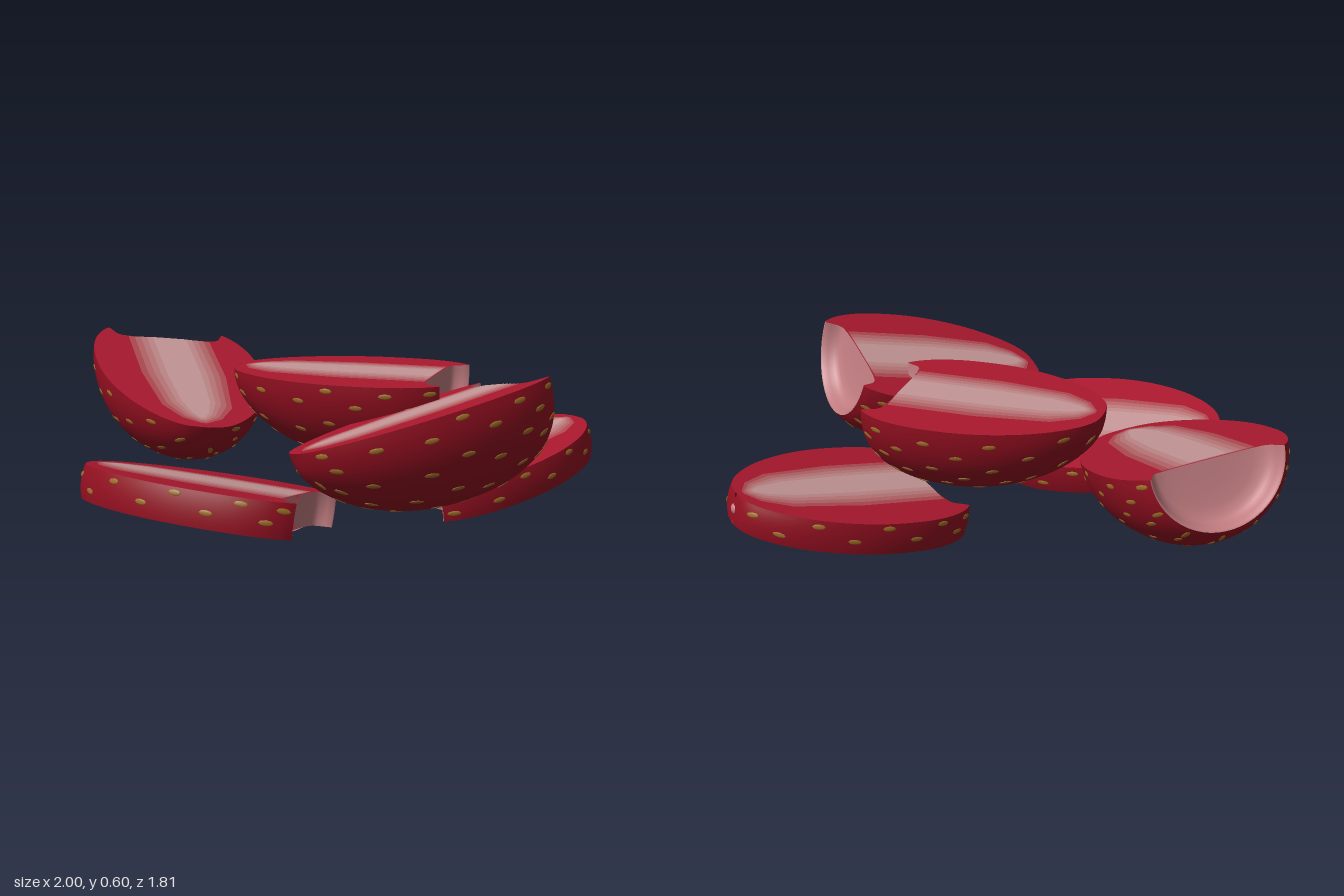
import * as THREE from 'three';
import { mergeGeometries } from 'three/addons/utils/BufferGeometryUtils.js';

const material = (color) => new THREE.MeshStandardMaterial({ color, roughness: 0.6, side: THREE.DoubleSide });
const SKIN = material(0x920f20), FLESH = material(0xaa182e), HOLLOW = material(0xc07c80), SEED = material(0x9c6c26);
const MID = 0.44; // middle of the berry's length

// Flesh fades to a pale core in nested streaks
const STREAKS = [0.17, 0.145, 0.12, 0.095, 0.07].map((width, i) => ({
  width, mat: material(new THREE.Color(0xaa182e).lerp(new THREE.Color(0xc49696), (i + 1) / 5)),
}));

// Berry profile (distance from tip, radius), from the tip to the stem rim
const skinCurve = new THREE.CatmullRomCurve3([
  [0, 0], [0.012, 0.08], [0.065, 0.155], [0.17, 0.235], [0.3, 0.293], [0.43, 0.325],
  [0.56, 0.334], [0.69, 0.325], [0.79, 0.296], [0.845, 0.265], [0.87, 0.243],
].map(([u, r]) => new THREE.Vector3(u - MID, r, 0)));
const skinProfile = skinCurve.getPoints(40);
// Scooped-out stem end: from the rim inwards to the floor
const pocketProfile = [[0.87, 0.243], [0.868, 0.236], [0.845, 0.226], [0.82, 0.215], [0.806, 0.197],
  [0.8, 0.16], [0.797, 0.11], [0.796, 0.064], [0.796, 0.03], [0.796, 0]]
  .map(([u, r]) => new THREE.Vector3(u - MID, r, 0));

// Angle ranges left around the axis: lower half, or both edges of a slab of half thickness h
function arcs(r, h) {
  if (!h) return [[Math.PI, 2 * Math.PI]];
  const a = r > h ? Math.asin(h / r) : Math.PI / 2;
  return [[-a, a], [Math.PI - a, Math.PI + a]];
}

// Sweep a profile about the x axis over the remaining arcs
function sweep(profile, h) {
  const n = h ? 10 : 40;
  const parts = arcs(1, h).map((_, side) => {
    const pos = [], index = [];
    profile.forEach((p, i) => {
      const [a0, a1] = arcs(p.y, h)[side];
      for (let j = 0; j <= n; j++) {
        const t = a0 + (a1 - a0) * j / n;
        pos.push(p.x, p.y * Math.sin(t), p.y * Math.cos(t));
        if (i && j) {
          const d = i * (n + 1) + j, c = d - 1, b = d - n - 1, a = b - 1;
          index.push(a, c, b, b, c, d);
        }
      }
    });
    const g = new THREE.BufferGeometry();
    g.setAttribute('position', new THREE.Float32BufferAttribute(pos, 3));
    g.setIndex(index);
    g.computeVertexNormals();
    return g;
  });
  return mergeGeometries(parts);
}

// Mirrored flat shape from one side's (u, half width) points
function mirrored(points) {
  const other = points.slice().reverse().map((p) => new THREE.Vector2(p.x, -p.y));
  return new THREE.ShapeGeometry(new THREE.Shape([...points, ...other]));
}

function cutFace(h) {
  const width = (r) => Math.sqrt(Math.max(0, r * r - h * h));
  return mirrored([...skinProfile, ...pocketProfile]
    .map((p) => new THREE.Vector2(p.x, width(p.y))).filter((p) => p.y > 0.004));
}

// Streak along the middle of a cut face, narrowing at the tip
function streak(w) {
  const start = 0.1 - w * 0.4;
  return mirrored([[start, 0.01], [start + 0.04, w * 0.45], [start + 0.14, w * 0.8], [0.45, w], [0.794, w]]
    .map(([u, s]) => new THREE.Vector2(u - MID, s)));
}

// Staggered seeds lying along the skin
function seeds(h) {
  const list = [], m = new THREE.Matrix4();
  for (let row = 0; row < 9; row++) {
    const t = 0.14 + row * 0.092;
    for (const [side, [a0, a1]] of arcs(skinCurve.getPoint(t).y, h).entries()) {
      const count = Math.max(1, Math.round((a1 - a0) * skinCurve.getPoint(t).y / 0.125));
      for (let k = 0; k < count; k++) {
        const jitter = Math.sin(row * 12.9 + k * 7.3 + side * 4.1);
        const p = skinCurve.getPoint(t + 0.025 * jitter), d = skinCurve.getTangent(t);
        const a = a0 + (a1 - a0) * (k + (row % 2 ? 0.3 : 0.7) + 0.15 * jitter) / count;
        const radial = new THREE.Vector3(0, Math.sin(a), Math.cos(a));
        const along = new THREE.Vector3(d.x, 0, 0).addScaledVector(radial, d.y).normalize();
        const across = new THREE.Vector3().crossVectors(new THREE.Vector3(1, 0, 0), radial);
        m.makeBasis(along, new THREE.Vector3().crossVectors(across, along), across);
        m.setPosition(p.x, p.y * radial.y, p.y * radial.z);
        list.push(new THREE.SphereGeometry(1, 8, 6).scale(0.026, 0.003, 0.01).applyMatrix4(m));
      }
    }
  }
  return mergeGeometries(list);
}

// One piece: a half (h = 0) or a slice of half thickness h
function berryPiece(name, h) {
  const group = new THREE.Group();
  group.name = name;
  const add = (part, geometry, mat) => {
    const mesh = new THREE.Mesh(geometry, mat);
    mesh.name = part;
    group.add(mesh);
  };
  add('skin', sweep(skinProfile, h), SKIN);
  add('stemHollow', sweep(pocketProfile, h), HOLLOW);
  add('seeds', seeds(h), SEED);
  for (const side of h ? [1, -1] : [1]) {
    const lay = (g, lift) => g.rotateX(-side * Math.PI / 2).translate(0, side * (h + lift), 0);
    add('cutFace', lay(cutFace(h), 0), FLESH);
    STREAKS.forEach(({ width, mat }, i) => add('coreStreak', lay(streak(width), 0.001 * (i + 1)), mat));
  }
  if (h) add('tipNub', new THREE.SphereGeometry(0.026, 12, 8).translate(0.02 - MID, 0, 0), HOLLOW);
  return group;
}

// at: centre of the cut; stem: direction of the stem end in plan (x, z);
// slope: rise of the cut plane along x and z; size: length, depth, width
const PIECES = [
  { name: 'backHalf', h: 0, at: [-0.52, 0.453, -0.432], stem: [0, -1], slope: [-0.13, -0.29], size: [0.985, 0.96, 0.99] },
  { name: 'middleHalf', h: 0, at: [0.013, 0.52, -0.018], stem: [0.83, 0.558], slope: [0, 0], size: [0.97, 1, 1] },
  { name: 'frontHalf', h: 0, at: [0.054, 0.46, 0.58], stem: [0.986, -0.166], slope: [0.25, 0.18], size: [0.98, 1, 1] },
  { name: 'rightSlice', h: 0.06, at: [0.58, 0.148, 0.052], stem: [-0.966, 0.259], slope: [0.19, -0.01], size: [0.965, 1, 1.02] },
  { name: 'leftSlice', h: 0.06, at: [-0.607, 0.157, 0.302], stem: [0.839, 0.545], slope: [-0.173, 0.103], size: [0.97, 1, 1.01] },
];

export function createModel() {
  const model = new THREE.Group();
  model.name = 'cutBerries';
  for (const { name, h, at, stem: [sx, sz], slope: [a, b], size } of PIECES) {
    const piece = berryPiece(name, h);
    const x = new THREE.Vector3(sx, a * sx + b * sz, sz).normalize();
    const y = new THREE.Vector3(-a, 1, -b).normalize();
    const z = new THREE.Vector3().crossVectors(x, y);
    piece.quaternion.setFromRotationMatrix(new THREE.Matrix4().makeBasis(x, y, z));
    piece.position.set(...at);
    piece.scale.set(...size);
    model.add(piece);
  }
  return model;
}
